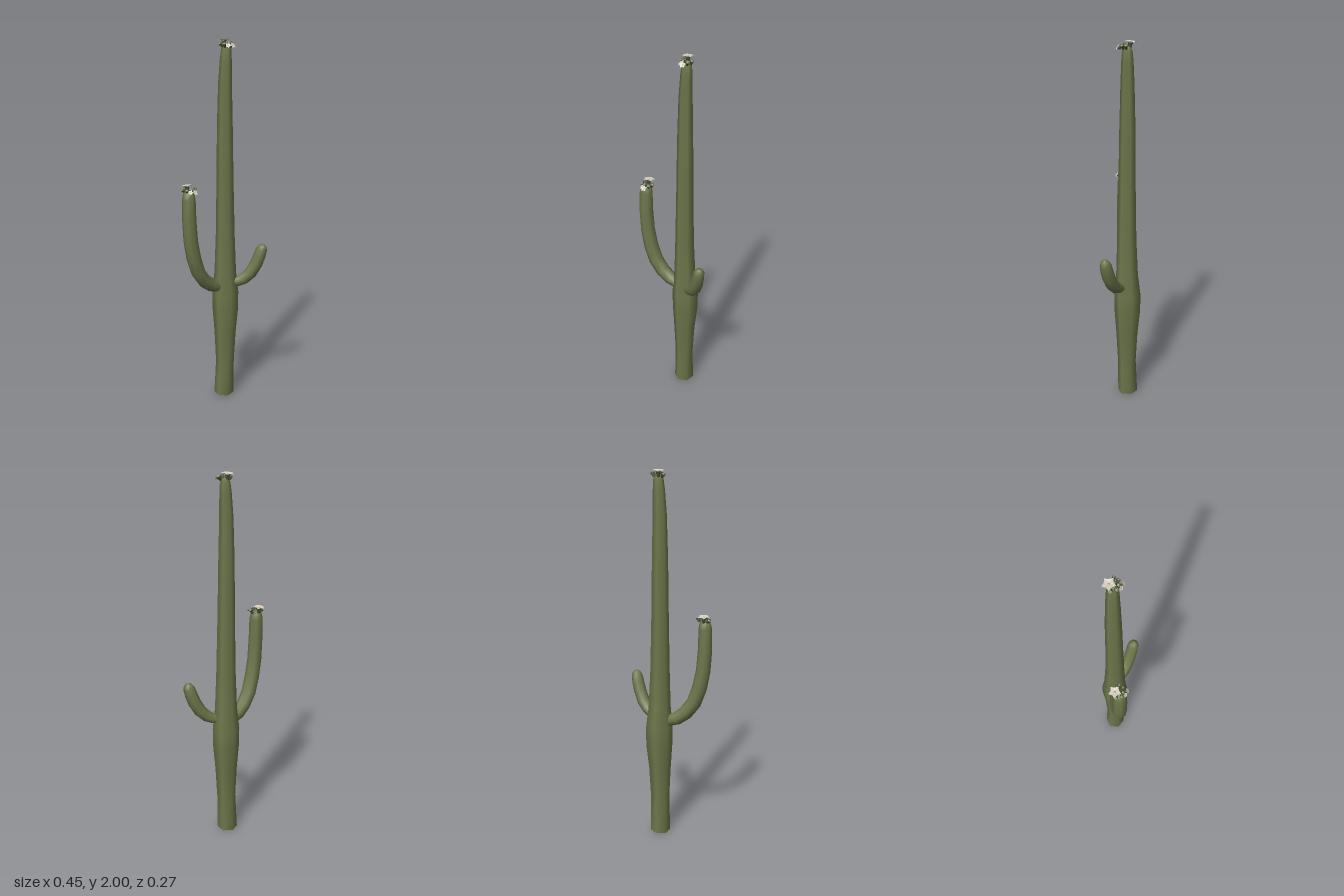
import * as THREE from 'three';

const skin = new THREE.MeshStandardMaterial({ name: 'cactus green', color: 0x6c764b });
const budGreen = new THREE.MeshStandardMaterial({ name: 'bud green', color: 0x4c5538 });
const tipGreen = new THREE.MeshStandardMaterial({ name: 'bud tip green', color: 0x8d9670 });
const petalWhite = new THREE.MeshStandardMaterial({ name: 'petal white', color: 0xd2cfc2, side: THREE.DoubleSide });
const pollen = new THREE.MeshStandardMaterial({ name: 'pollen orange', color: 0xe8a27a });
const V = (x, y, z) => new THREE.Vector3(x, y, z);

function add(parent, name, geometry, material, x = 0, y = 0, z = 0) {
  const mesh = new THREE.Mesh(geometry, material);
  mesh.name = name;
  mesh.position.set(x, y, z);
  parent.add(mesh);
  return mesh;
}

// Smooth limb from rings [x, y, z, radius]; side is a constant vector across the bend
function limb(rings, side, sides) {
  const pos = [], index = [];
  const centre = i => V(...rings[Math.max(0, Math.min(rings.length - 1, i))].slice(0, 3));
  rings.forEach((ring, i) => {
    const tangent = centre(i + 1).sub(centre(i - 1)).normalize();
    const out = side.clone().cross(tangent).normalize();
    for (let j = 0; j < sides; j++) {
      const a = j / sides * Math.PI * 2;
      const p = centre(i).addScaledVector(side, Math.cos(a) * ring[3]).addScaledVector(out, Math.sin(a) * ring[3]);
      pos.push(p.x, p.y, p.z);
      if (i < rings.length - 1) {
        const k = (j + 1) % sides, b = i * sides, t = b + sides;
        index.push(b + j, t + j, b + k, b + k, t + j, t + k);
      }
    }
  });
  const g = new THREE.BufferGeometry();
  g.setAttribute('position', new THREE.Float32BufferAttribute(pos, 3));
  g.setIndex(index);
  g.computeVertexNormals();
  return g;
}

// Five-petalled star, slightly cupped
function petals(r) {
  const g = new THREE.CircleGeometry(r, 10).rotateX(-Math.PI / 2);
  const p = g.attributes.position;
  for (let i = 1; i < p.count; i++) {
    const s = i % 2 ? 1 : 0.66;
    p.setXYZ(i, p.getX(i) * s, r * (i % 2 ? 0.12 : 0.2), p.getZ(i) * s);
  }
  g.computeVertexNormals();
  return g;
}

function pointed(name, x, y, z, dir) {
  const g = new THREE.Group();
  g.name = name;
  g.position.set(x, y, z);
  g.quaternion.setFromUnitVectors(V(0, 1, 0), V(...dir).normalize());
  return g;
}

function flower(x, y, z, dir, r) {
  const g = pointed('flower', x, y, z, dir);
  add(g, 'petals', petals(r), petalWhite);
  add(g, 'flowerCentre', new THREE.ConeGeometry(r * 0.28, r * 0.2, 5), pollen, 0, r * 0.1, 0);
  add(g, 'calyx', new THREE.CylinderGeometry(r * 0.4, r * 0.22, r * 0.9, 6), budGreen, 0, -r * 0.46, 0);
  return g;
}

function bud(x, y, z, dir) {
  const g = pointed('bud', x, y, z, dir);
  add(g, 'budBody', new THREE.CylinderGeometry(0.01, 0.006, 0.024, 6), budGreen);
  add(g, 'budTip', new THREE.ConeGeometry(0.008, 0.007, 6), tipGreen, 0, 0.0155, 0);
  return g;
}

// Crown of one open flower, smaller side flowers and buds
function crown(name, x, y, z) {
  const g = new THREE.Group();
  g.name = name;
  g.position.set(x, y, z);
  g.add(
    flower(-0.012, 0.027, -0.01, [-0.08, 1, -0.08], 0.034),
    flower(0.034, 0.004, 0.032, [0.7, 0.7, 0.7], 0.018),
    flower(0.012, 0.004, 0.036, [0.1, 0.6, 0.9], 0.015),
    bud(0.028, 0.008, -0.014, [0.6, 1, -0.2]),
    bud(0.029, 0.006, 0.006, [0.7, 1, 0.1]),
    bud(0.012, 0.008, 0.018, [0.2, 1, 0.5]),
    bud(-0.006, 0.004, 0.024, [-0.2, 1, 0.6]),
    bud(-0.024, 0.004, 0.008, [-0.8, 0.8, 0.2]),
  );
  return g;
}

export function createModel() {
  const cactus = new THREE.Group();
  cactus.name = 'cactus';

  // Six-sided trunk, swollen below the arms
  const trunk = [
    [-0.011, 0, -0.074, 0.055], [-0.005, 0.2, -0.071, 0.051], [-0.004, 0.38, -0.071, 0.06],
    [-0.003, 0.52, -0.074, 0.072], [-0.003, 0.62, -0.074, 0.073], [-0.003, 0.74, -0.071, 0.06],
    [-0.003, 0.95, -0.068, 0.052], [-0.004, 1.25, -0.067, 0.046], [-0.005, 1.55, -0.067, 0.042],
    [-0.004, 1.78, -0.067, 0.036], [0, 1.9, -0.069, 0.031], [0.002, 1.955, -0.07, 0.026],
    [0.002, 1.972, -0.07, 0.015], [0.002, 1.976, -0.07, 0.0005],
  ];
  add(cactus, 'trunk', limb(trunk, V(1, 0, 0), 6), skin);
  add(cactus, 'trunkBase', new THREE.CircleGeometry(0.055, 6).rotateX(Math.PI / 2), skin, -0.011, 0, -0.074);

  // Long arm reaching forward to the model's right
  const rightArm = [
    [-0.02, 0.664, -0.053, 0.001], [-0.027, 0.664, -0.047, 0.022], [-0.045, 0.665, -0.035, 0.032],
    [-0.075, 0.679, -0.01, 0.037], [-0.11, 0.715, 0.024, 0.039], [-0.142, 0.775, 0.055, 0.04],
    [-0.163, 0.86, 0.077, 0.04], [-0.177, 0.96, 0.09, 0.039], [-0.183, 1.08, 0.096, 0.038],
    [-0.184, 1.19, 0.095, 0.036], [-0.184, 1.222, 0.094, 0.03], [-0.184, 1.236, 0.094, 0.015],
    [-0.184, 1.238, 0.094, 0.0005],
  ];
  add(cactus, 'rightArm', limb(rightArm, V(0.68, 0, 0.73).normalize(), 8), skin);

  // Short arm on the model's left
  const leftArm = [
    [0.035, 0.68, -0.073, 0.02], [0.065, 0.681, -0.073, 0.029], [0.1, 0.697, -0.076, 0.033],
    [0.138, 0.732, -0.08, 0.035], [0.168, 0.784, -0.083, 0.035], [0.186, 0.832, -0.084, 0.034],
    [0.197, 0.868, -0.084, 0.031], [0.203, 0.888, -0.084, 0.022], [0.205, 0.896, -0.084, 0.01],
    [0.2055, 0.898, -0.084, 0.0005],
  ];
  add(cactus, 'leftArm', limb(leftArm, V(0, 0, 1), 8), skin);

  cactus.add(crown('trunkFlowers', 0.002, 1.967, -0.07));
  cactus.add(crown('armFlowers', -0.184, 1.229, 0.084));
  return cactus;
}
